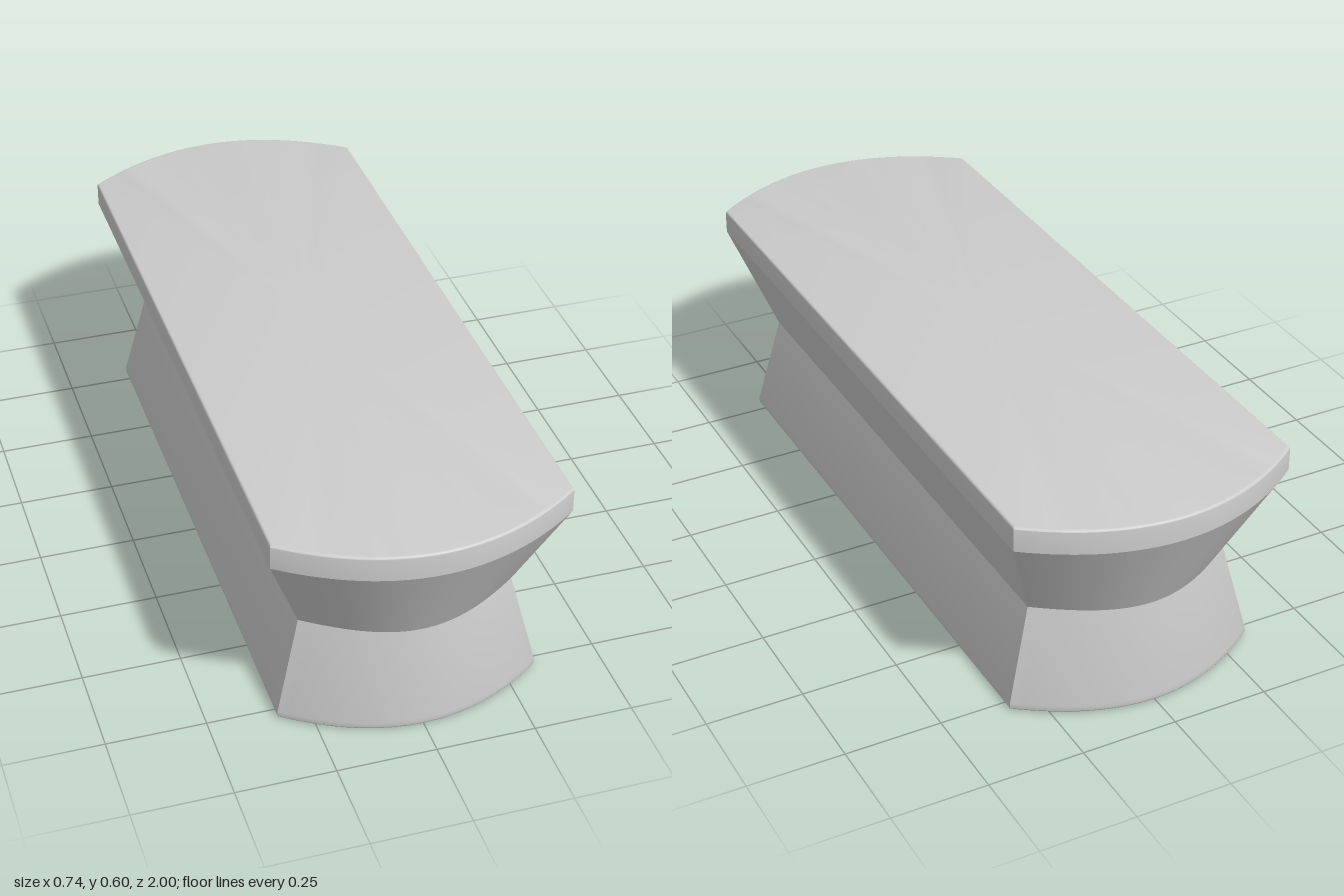
import * as THREE from 'three';
import { toCreasedNormals } from 'three/addons/utils/BufferGeometryUtils.js';

const ARC_STEPS = 32;

// Horizontal outline: straight long sides, bowed front and back ends
function outline({ y, w, corner, mid }) {
  const h = (mid - corner) / 0.75;
  const cx = w - h / 0.75;
  const arc = new THREE.CubicBezierCurve(
    new THREE.Vector2(-w, corner), new THREE.Vector2(-cx, corner + h),
    new THREE.Vector2(cx, corner + h), new THREE.Vector2(w, corner)
  ).getPoints(ARC_STEPS);
  return [
    ...arc.map(p => [p.x, y, p.y]),
    ...arc.map(p => [-p.x, y, -p.y]),
  ];
}

// Quarter-round of small levels easing a rim into a flat cap
function rim(level, r, dir) {
  const steps = 6, levels = [];
  for (let i = 0; i <= steps; i++) {
    const a = (i / steps) * Math.PI / 2;
    const inset = r * (1 - Math.cos(a));
    levels.push({
      y: level.y + dir * r * Math.sin(a),
      w: level.w - inset, corner: level.corner - inset, mid: level.mid - inset,
    });
  }
  return levels;
}

// Skin stacked outlines and close both ends
function loft(levels) {
  const rings = levels.map(outline);
  const n = rings[0].length, count = rings.length;
  const positions = rings.flat(2), index = [];
  for (let k = 0; k < count - 1; k++) {
    for (let i = 0; i < n; i++) {
      const j = (i + 1) % n;
      const a = k * n + i, b = k * n + j;
      index.push(a, b, b + n, a, b + n, a + n);
    }
  }
  const bottom = count * n, top = bottom + 1, last = (count - 1) * n;
  positions.push(0, levels[0].y, 0, 0, levels[count - 1].y, 0);
  for (let i = 0; i < n; i++) {
    const j = (i + 1) % n;
    index.push(bottom, j, i, top, last + i, last + j);
  }
  const geometry = new THREE.BufferGeometry();
  geometry.setAttribute('position', new THREE.Float32BufferAttribute(positions, 3));
  geometry.setIndex(index);
  return toCreasedNormals(geometry, 0.3);
}

export function createModel() {
  const group = new THREE.Group();
  group.name = 'waistedBlock';

  const foot = { y: 0.008, w: 0.331, corner: 0.782, mid: 0.907 };
  const lip = { y: 0.588, w: 0.368, corner: 0.863, mid: 1.0 };
  const levels = [
    ...rim(foot, 0.008, -1).reverse(),                  // rounded foot edge
    { ...foot, y: 0.02 },
    { y: 0.268, w: 0.27, corner: 0.752, mid: 0.87 },    // narrow waist
    { ...lip, y: 0.53 },                                // flared underside of the lip
    ...rim(lip, 0.007, 1),                              // rounded top edge
  ];

  const body = new THREE.Mesh(
    loft(levels),
    new THREE.MeshStandardMaterial({ color: 0xcccccc })
  );
  body.name = 'body';
  group.add(body);
  return group;
}
